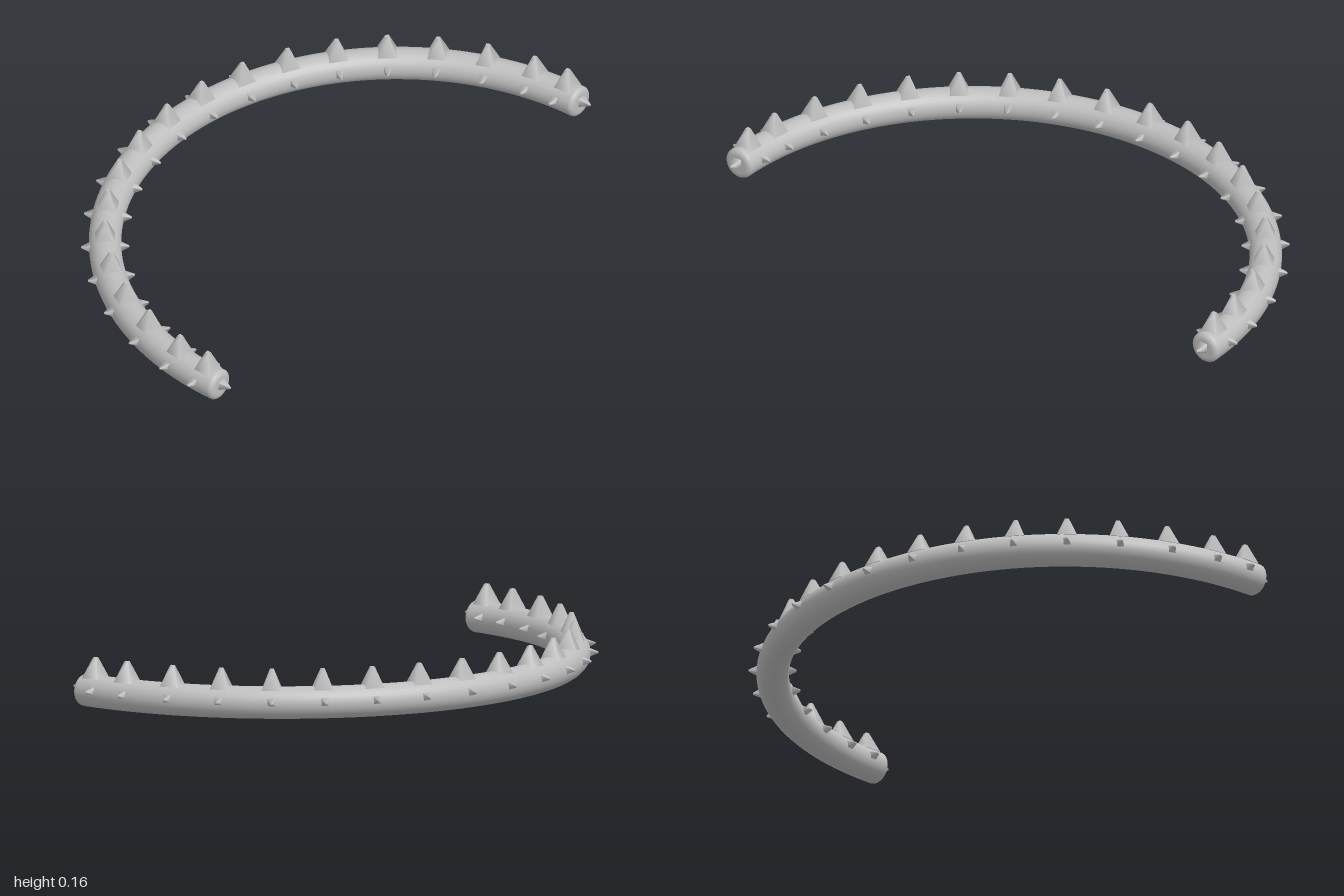
import * as THREE from 'three';

const CX = 0.476;      // centre of the arc
const R = 0.924;       // radius of the arc
const TUBE = 0.0515;   // radius of the bar
const SIDE_Y = 0.0595; // height of the side spikes

// Four-sided blunt spike with soft corners, base at the origin, pointing along +y
function spikeGeometry(base, tip, height) {
  const k = Math.SQRT1_2;
  return new THREE.CylinderGeometry(tip * k, base * k, height, 4, 1)
    .rotateY(Math.PI / 4)
    .translate(0, height / 2, 0);
}

export function createModel() {
  const model = new THREE.Group();
  model.name = 'spikedArc';
  const grey = new THREE.MeshStandardMaterial({ color: 0xbebebe });
  grey.name = 'lightGrey';

  const add = (parent, name, geometry, x, y, z, rotZ = 0) => {
    const mesh = new THREE.Mesh(geometry, grey);
    mesh.name = name;
    mesh.position.set(x, y, z);
    mesh.rotation.z = rotZ;
    parent.add(mesh);
  };

  // Group at the arc centre, turned so that its -x points to the given angle
  const addStation = (name, degrees) => {
    const station = new THREE.Group();
    station.name = name;
    station.position.x = CX;
    station.rotation.y = THREE.MathUtils.degToRad(degrees);
    model.add(station);
    return station;
  };

  // Half-ring bar, open towards +x
  const bar = new THREE.TorusGeometry(R, TUBE, 28, 96, Math.PI)
    .rotateZ(Math.PI / 2)
    .rotateX(Math.PI / 2);
  add(model, 'bar', bar, CX, TUBE, 0);

  // Rounded end cap profile
  const bevel = 0.02, depth = 0.016;
  const profile = [new THREE.Vector2(TUBE, -0.004)];
  for (let i = 0; i <= 6; i++) {
    const a = (i / 6) * Math.PI / 2;
    profile.push(new THREE.Vector2(TUBE - bevel + bevel * Math.cos(a), depth * Math.sin(a)));
  }
  profile.push(new THREE.Vector2(0.02, depth), new THREE.Vector2(0, depth));
  const cap = new THREE.LatheGeometry(profile, 28);

  const topSpike = spikeGeometry(0.062, 0.012, 0.066);
  const sideSpike = spikeGeometry(0.034, 0.005, 0.042);

  // End caps, each with a spike
  for (const s of [-1, 1]) {
    add(model, 'endCap', cap, CX, TUBE, s * R, -Math.PI / 2);
    add(model, 'endSpike', sideSpike, CX + 0.01, SIDE_Y, s * R, -Math.PI / 2);
  }

  // Rows of spikes on the top, outer and inner sides, every 10 degrees and near the ends
  for (let i = -9; i <= 9; i++) {
    const s = Math.sign(i), n = Math.abs(i);
    const topAngle = n === 9 ? s * 87.6 : i * 10;
    const sideAngle = n === 9 ? s * 86.4 : n === 8 ? s * 79.3 : i * 10;
    add(addStation('topStation', topAngle), 'topSpike', topSpike, -R, 0.094, 0);
    const sides = addStation('sideStation', sideAngle);
    add(sides, 'outerSpike', sideSpike, -(R + 0.034), SIDE_Y, 0, Math.PI / 2);
    add(sides, 'innerSpike', sideSpike, -(R - 0.034), SIDE_Y, 0, -Math.PI / 2);
  }
  return model;
}
